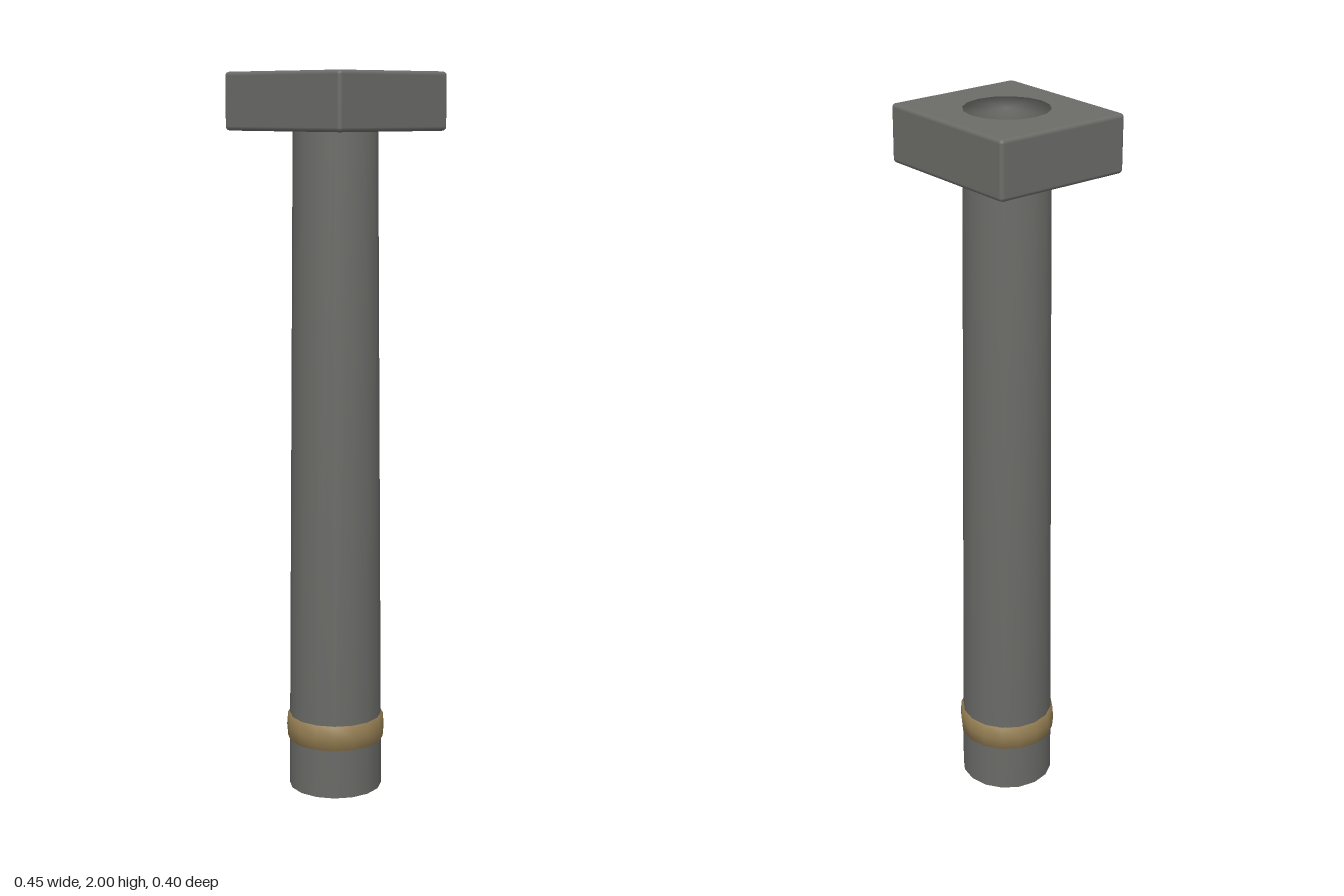
import * as THREE from 'three';
import { mergeVertices } from 'three/addons/utils/BufferGeometryUtils.js';
import { RoundedBoxGeometry } from 'three/addons/geometries/RoundedBoxGeometry.js';

const SIDES = 16;

// Weld all corners so shading runs smoothly over the rims
function softened(geometry) {
  geometry.deleteAttribute('normal');
  geometry.deleteAttribute('uv');
  const welded = mergeVertices(geometry, 1e-4);
  welded.computeVertexNormals();
  return welded;
}

export function createModel() {
  const group = new THREE.Group();
  const stone = new THREE.MeshStandardMaterial({ color: 0x6b6b68 });
  stone.name = 'greyStone';
  const brass = new THREE.MeshStandardMaterial({ color: 0x937d52 });
  brass.name = 'agedBrass';

  function add(name, geometry, material, y) {
    const mesh = new THREE.Mesh(geometry, material);
    mesh.name = name;
    mesh.position.y = y;
    group.add(mesh);
  }

  // Tapered shaft, running right through the head to its top face
  const height = 2.001;
  add('shaft', softened(new THREE.CylinderGeometry(0.114, 0.131, height, SIDES)), stone, height / 2);

  // Rectangular head with a small rounded edge
  add('head', new RoundedBoxGeometry(0.452, 0.156, 0.4, 2, 0.011), stone, 1.922);

  // Collar near the foot, with a slight ridge around its middle
  const profile = [[0.12, -0.035], [0.135, -0.035], [0.138, 0], [0.135, 0.035], [0.12, 0.035]]
    .map(([r, y]) => new THREE.Vector2(r, y));
  add('collar', softened(new THREE.LatheGeometry(profile, SIDES)), brass, 0.175);

  return group;
}
